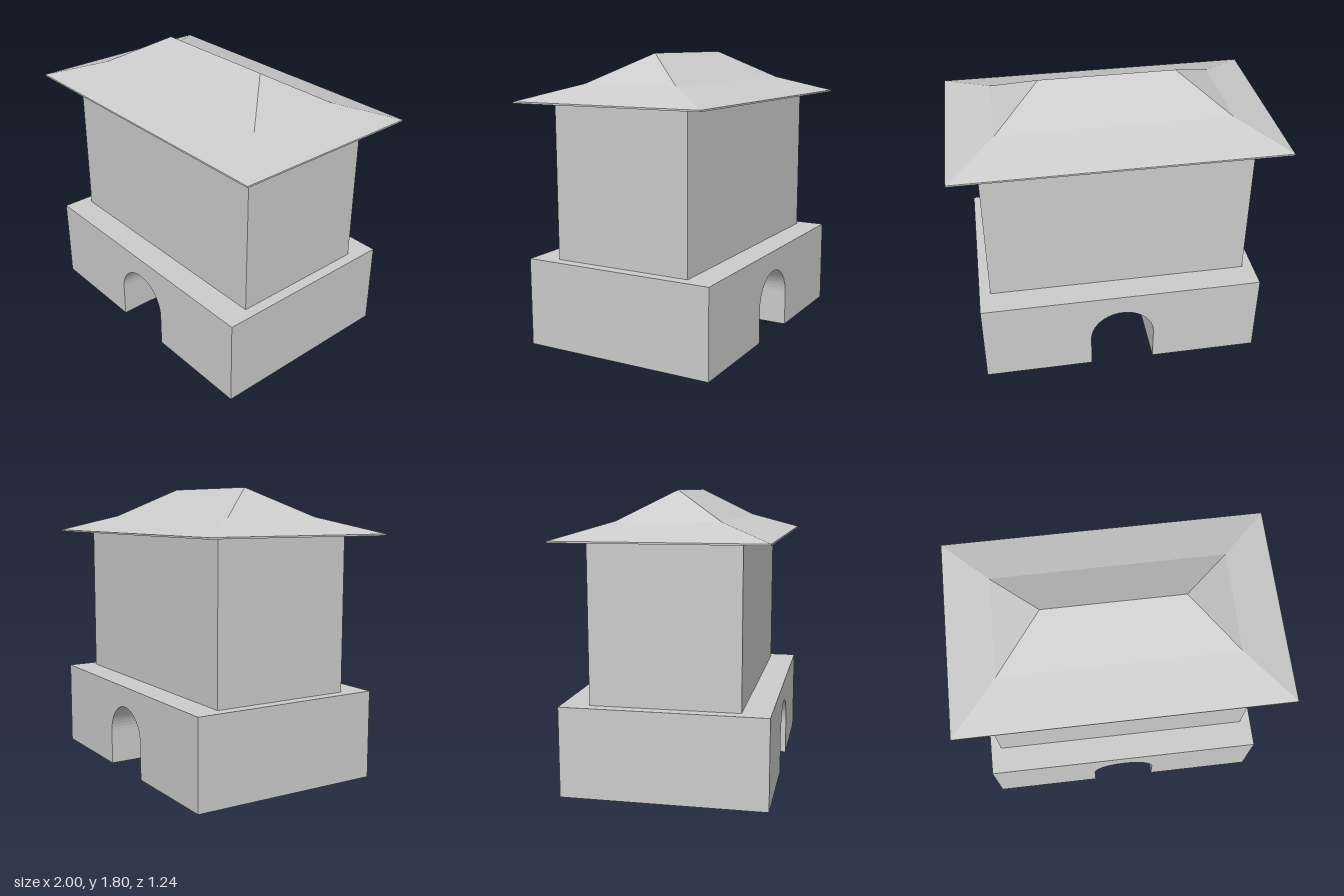
import * as THREE from 'three';

const grey = new THREE.MeshStandardMaterial({ color: 0xcccccc, flatShading: true });

function add(group, name, geometry) {
  const mesh = new THREE.Mesh(geometry, grey);
  mesh.name = name;
  group.add(mesh);
  return mesh;
}

// Plinth with an arched passage running front to back
function plinthGeometry() {
  const w = 0.895, h = 0.55, depth = 1.24, r = 0.205, spring = 0.22;
  const s = new THREE.Shape();
  s.moveTo(-w, 0);
  s.lineTo(-r, 0);
  s.lineTo(-r, spring);
  s.absellipse(0, spring, r, 0.2, Math.PI, 0, true);
  s.lineTo(r, 0);
  s.lineTo(w, 0);
  s.lineTo(w, h);
  s.lineTo(-w, h);
  s.closePath();
  const g = new THREE.ExtrudeGeometry(s, { depth, bevelEnabled: false, curveSegments: 14 });
  return g.translate(0, 0, -depth / 2);
}

// Rectangular rings [halfX, halfZ, y] joined by bands of quads
function ringGeometry(rings) {
  const corners = [[1, 1], [1, -1], [-1, -1], [-1, 1]];
  const positions = [], index = [];
  rings.forEach(([x, z, y], i) => {
    corners.forEach(([sx, sz]) => positions.push(sx * x, y, sz * z));
    if (i === 0) return;
    for (let k = 0; k < 4; k++) {
      const n = (k + 1) % 4, lo = (i - 1) * 4, hi = i * 4;
      // Skip the zero-area triangle where an end face meets the ridge
      if (rings[i - 1][1] > 0 || k % 2) index.push(lo + k, lo + n, hi + n);
      if (z > 0 || k % 2) index.push(lo + k, hi + n, hi + k);
    }
  });
  const g = new THREE.BufferGeometry();
  g.setAttribute('position', new THREE.Float32BufferAttribute(positions, 3));
  g.setIndex(index);
  const flat = g.toNonIndexed();
  flat.computeVertexNormals();
  return flat;
}

export function createModel() {
  const model = new THREE.Group();
  model.name = 'gatehouse';

  add(model, 'archedPlinth', plinthGeometry());

  // Upper storey
  add(model, 'upperWalls', new THREE.BoxGeometry(1.65, 0.965, 0.9)).position.y = 1.0325;

  // Thin hipped roof shell: down the inside, round the eave, up the outside
  const outer = [[1, 0.62, 1.52], [0.71, 0.31, 1.62], [0.42, 0, 1.797]];
  const inner = outer.map(([x, z, y]) => [x, z, y - 0.01]).reverse();
  add(model, 'hippedRoof', ringGeometry([...inner, ...outer]));

  return model;
}
